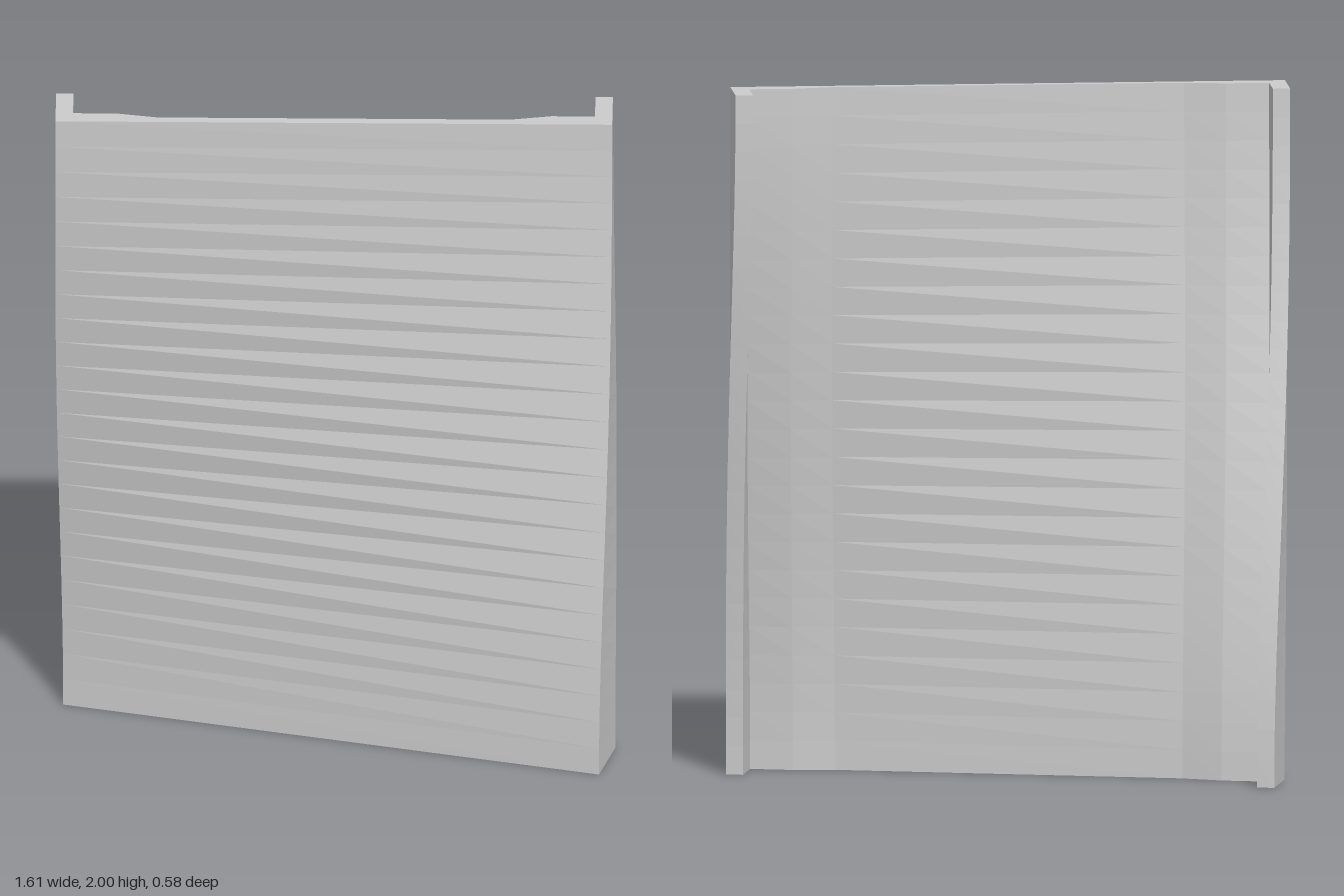
import * as THREE from 'three';

const HEIGHT = 2, STEPS = 24, TWIST = THREE.MathUtils.degToRad(15);
const CENTRE_X = -0.01, PIVOT_Z = 0.056;
const FRONT = 0.087, BACK = -0.086;

// Right half of the channel section as [x, z], from the front corner to the web's back
const HALF = [
  [0.8, FRONT],    // outer front corner
  [0.8, BACK],     // flange tip, outside
  [0.75, BACK],    // flange tip, inside
  [0.75, 0.036],   // thick web beside the flange
  [0.625, 0.036],
  [0.507, 0.059],  // thin web
];

function channelShape() {
  const mirrored = HALF.map(([x, z]) => [-x, z]).reverse();
  // Shape y is -z, so that the extrusion can be stood upright
  return new THREE.Shape([...HALF, ...mirrored].map(([x, z]) => new THREE.Vector2(x + CENTRE_X, -z)));
}

// Turns each level about a vertical axis, easing from full twist at the foot to none at the top
function twist(geometry) {
  const pos = geometry.attributes.position;
  for (let i = 0; i < pos.count; i++) {
    const y = pos.getY(i);
    const a = TWIST * (1 - THREE.MathUtils.smoothstep(y, 0, HEIGHT));
    const x = pos.getX(i), z = pos.getZ(i) - PIVOT_Z;
    pos.setXYZ(i, x * Math.cos(a) - z * Math.sin(a), y, PIVOT_Z + x * Math.sin(a) + z * Math.cos(a));
  }
  geometry.computeVertexNormals();
  return geometry;
}

export function createModel() {
  const group = new THREE.Group();
  group.name = 'twistedPanel';

  // Flanged panel, extruded upright and then twisted
  const geometry = new THREE.ExtrudeGeometry(channelShape(), { depth: HEIGHT, steps: STEPS, bevelEnabled: false });
  geometry.rotateX(-Math.PI / 2);
  const panel = new THREE.Mesh(
    twist(geometry),
    new THREE.MeshStandardMaterial({ color: 0xcccccc, flatShading: true })
  );
  panel.name = 'flangedPanel';
  group.add(panel);
  return group;
}
